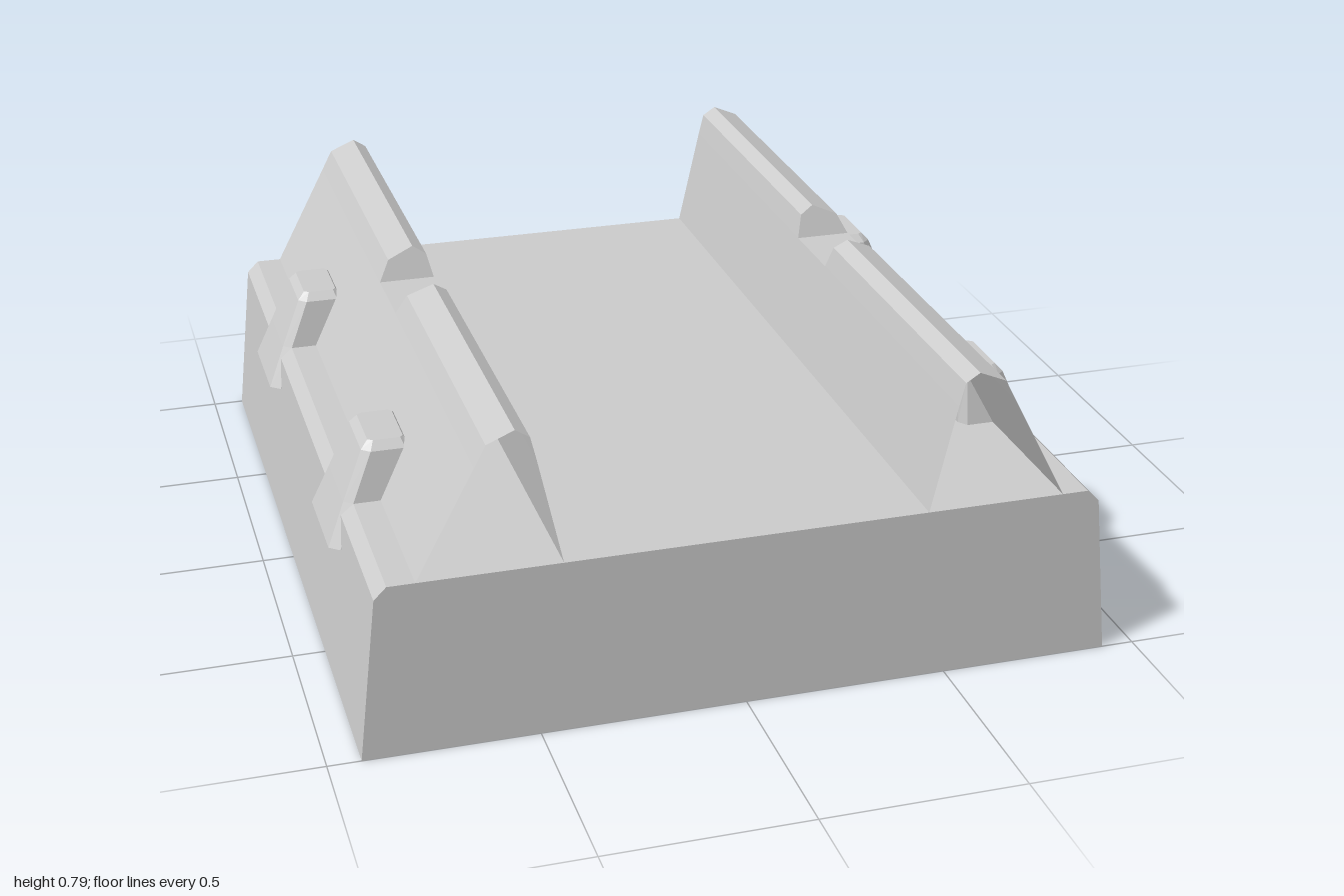
import * as THREE from 'three';

const grey = new THREE.MeshStandardMaterial({ color: 0xcccccc, flatShading: true });
const greyOpen = new THREE.MeshStandardMaterial({ color: 0xcccccc, flatShading: true, side: THREE.DoubleSide });

// Skin a list of rings (each a list of [x, y, z]); closed rings get end caps
function loft(rings, closed) {
  const n = rings[0].length, index = [];
  for (let i = 0; i < rings.length - 1; i++) {
    for (let j = 0; j < (closed ? n : n - 1); j++) {
      const k = (j + 1) % n;
      const a = i * n + j, b = i * n + k, c = b + n, d = a + n;
      index.push(a, b, c, a, c, d);
    }
  }
  if (closed) {
    const t = (rings.length - 1) * n;
    for (let j = 1; j < n - 1; j++) index.push(0, j + 1, j, t, t + j, t + j + 1);
  }
  const g = new THREE.BufferGeometry();
  g.setAttribute('position', new THREE.Float32BufferAttribute(rings.flat(2), 3));
  g.setIndex(index);
  const flat = g.toNonIndexed();
  flat.computeVertexNormals();
  return flat;
}

// Tapered slab with chamfered upper edges
function baseGeometry() {
  const half = [[0.92, 0], [0.875, 0.41], [0.845, 0.44]];
  const outline = [...half, ...half.map(([x, y]) => [-x, y]).reverse()];
  const shape = new THREE.Shape(outline.map(([x, y]) => new THREE.Vector2(x, y)));
  return new THREE.ExtrudeGeometry(shape, { depth: 2, bevelEnabled: false }).translate(0, 0, -1);
}

// Ridge open at both ends, with a sloped notch cut in the middle of its crest
function railGeometry() {
  const full = [[0.78, 0.44], [0.64, 0.705], [0.613, 0.757], [0.547, 0.785], [0.513, 0.763], [0.499, 0.705], [0.44, 0.44]];
  const cut = full.map(([x, y]) => [y > 0.71 ? 0.57 : x, Math.min(y, 0.705)]);
  const slopeZ = (y) => 0.105 + Math.max(0, y - 0.705) * 0.36;
  const ring = (profile, z) => profile.map(([x, y]) => [x, y, z(y)]);
  return loft([
    ring(full, () => -1),
    ring(full, (y) => -slopeZ(y)),
    ring(cut, () => -0.105),
    ring(cut, () => 0.105),
    ring(full, slopeZ),
    ring(full, () => 1),
  ], false);
}

// Flared clip that hooks over the slab's edge
function clipGeometry() {
  // y, inner x, inner chamfer x, shoulder x, outer x, inner, body and outer half widths
  const levels = [
    [0.335, 0.86, 0.865, 0.885, 0.91, 0.12, 0.143, 0.122],
    [0.44, 0.695, 0.712, 0.845, 0.866, 0.095, 0.118, 0.1],
    [0.56, 0.695, 0.712, 0.795, 0.815, 0.08, 0.098, 0.08],
    [0.58, 0.712, 0.72, 0.785, 0.797, 0.068, 0.078, 0.07],
  ];
  return loft(levels.map(([y, xi, xc, xs, xo, wi, w, wo]) => {
    const side = [[xi, y, wi], [xc, y, w], [xs, y, w], [xo, y, wo]];
    return [...side, ...side.map(([x, h, z]) => [x, h, -z]).reverse()];
  }), true);
}

export function createModel() {
  const model = new THREE.Group();
  model.name = 'railedBase';
  const add = (parent, name, geometry, material) => {
    const mesh = new THREE.Mesh(geometry, material);
    mesh.name = name;
    parent.add(mesh);
    return mesh;
  };

  add(model, 'base', baseGeometry(), grey);

  // Each side carries one rail and two clips; the right is the left turned half round
  const rail = railGeometry(), clip = clipGeometry();
  for (const side of ['left', 'right']) {
    const group = new THREE.Group();
    group.name = side + 'Side';
    if (side === 'right') group.rotation.y = Math.PI;
    add(group, side + 'Rail', rail, greyOpen);
    for (const z of [0.47, -0.47]) {
      const front = (z > 0) === (side === 'left');
      add(group, side + (front ? 'Front' : 'Back') + 'Clip', clip, grey).position.z = z;
    }
    model.add(group);
  }
  return model;
}
